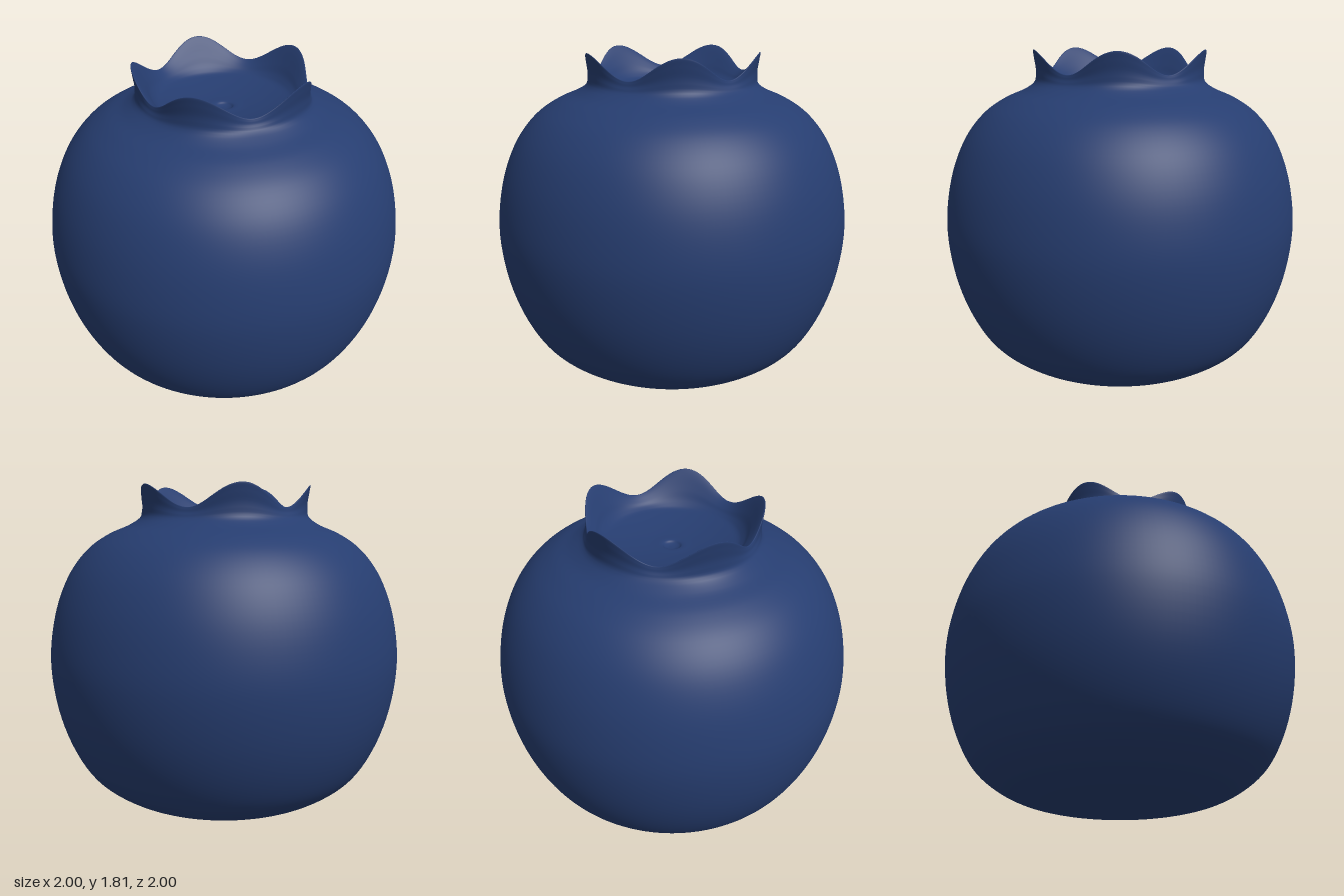
import * as THREE from 'three';
import { mergeVertices } from 'three/addons/utils/BufferGeometryUtils.js';

// Profile rows: radius, height, crown weight (how far the lobes lift the point)
const PROFILE = [
  [0, 0, 0], [0.2, 0, 0], [0.37, 0.003, 0], [0.48, 0.018, 0], [0.6, 0.053, 0],
  [0.71, 0.112, 0], [0.81, 0.2, 0], [0.9, 0.355, 0], [0.97, 0.57, 0], [1, 0.82, 0],
  [0.982, 1.02, 0], [0.935, 1.2, 0], [0.86, 1.355, 0], [0.76, 1.472, 0], [0.65, 1.545, 0],
  [0.55, 1.588, 0], [0.49, 1.62, 0.05], [0.462, 1.652, 0.3], [0.452, 1.678, 0.75],
  [0.446, 1.688, 1], [0.436, 1.682, 0.9],                       // rim of the crown
  [0.405, 1.658, 0.42], [0.375, 1.634, 0.1], [0.34, 1.62, 0],   // inner wall
  [0.24, 1.598, 0], [0.12, 1.582, 0], [0.055, 1.578, 0],        // sunken floor
  [0.04, 1.568, 0], [0.02, 1.562, 0], [0, 1.561, 0],            // central pit
];
const LOBES = 5;
const SEGMENTS = 180;

function berryGeometry() {
  const curve = new THREE.CatmullRomCurve3(PROFILE.map((p) => new THREE.Vector3(...p)));
  const rows = curve.getPoints((PROFILE.length - 1) * 5);
  const lathe = new THREE.LatheGeometry(
    rows.map((p) => new THREE.Vector2(Math.max(0, p.x), Math.max(0, p.y))), SEGMENTS);

  // Raise the crown into five rounded lobes, one pointing straight back
  const pos = lathe.attributes.position;
  for (let i = 0; i < pos.count; i++) {
    const weight = Math.max(0, rows[i % rows.length].z);
    const phi = (Math.floor(i / rows.length) / SEGMENTS) * Math.PI * 2;
    const lift = weight * (0.5 + 0.5 * Math.cos(LOBES * (phi - Math.PI)));
    const flare = 1 + 0.055 * lift / 1;
    const out = flare + 0.04 * lift;
    pos.setXYZ(i, pos.getX(i) * out, pos.getY(i) + 0.125 * lift, pos.getZ(i) * out);
  }

  // Weld the seam so the shading stays smooth all round
  lathe.deleteAttribute('uv');
  lathe.deleteAttribute('normal');
  const geometry = mergeVertices(lathe, 1e-5);
  geometry.computeVertexNormals();
  return geometry;
}

export function createModel() {
  const group = new THREE.Group();
  group.name = 'blueberry';
  const skin = new THREE.MeshStandardMaterial({ color: 0x263d70 });
  skin.name = 'blueberry skin';

  // Body, crown and sunken floor are one continuous skin
  const berry = new THREE.Mesh(berryGeometry(), skin);
  berry.name = 'berryWithCrown';
  group.add(berry);
  return group;
}
